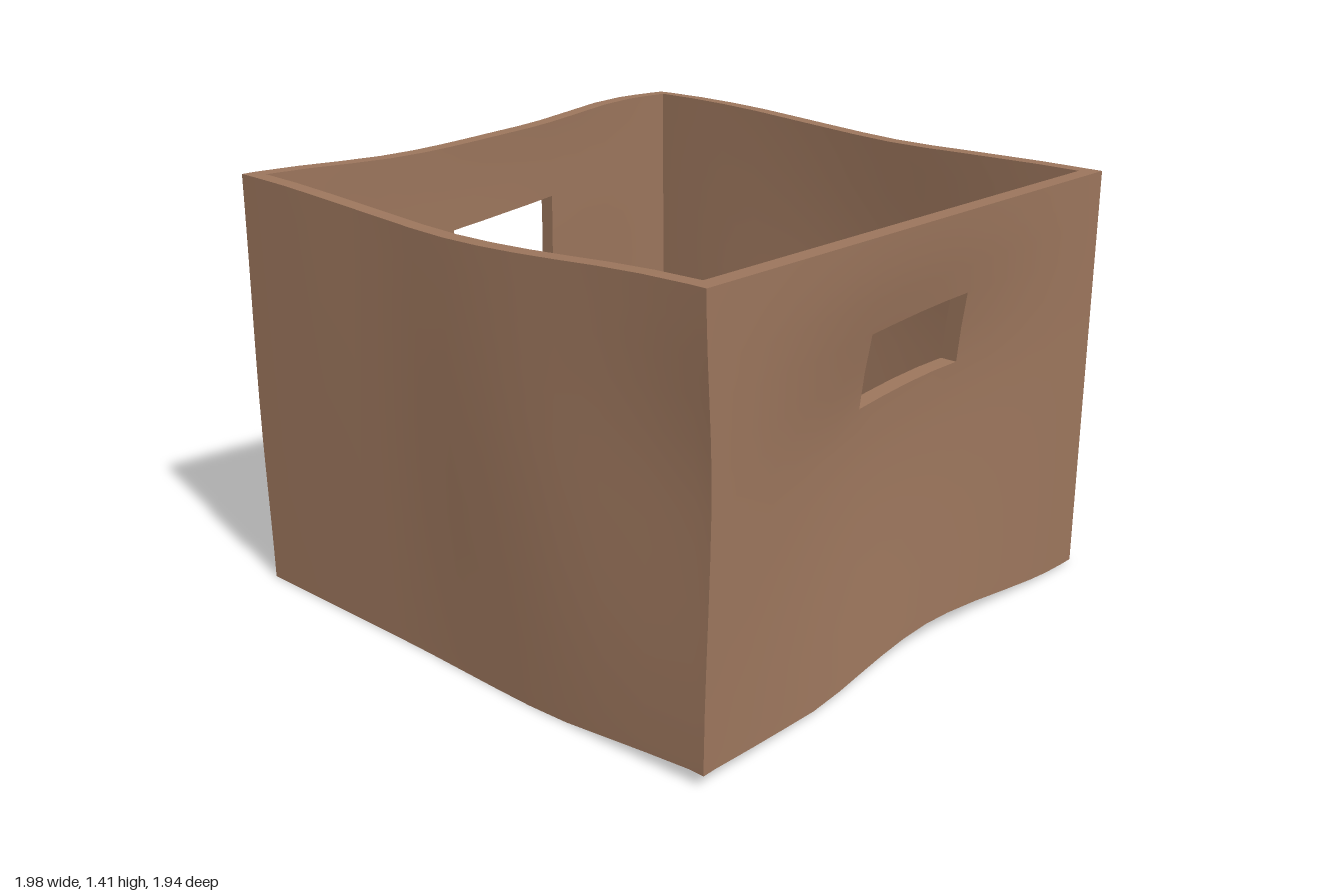
import * as THREE from 'three';
import { toCreasedNormals } from 'three/addons/utils/BufferGeometryUtils.js';

const clamp = (t) => Math.min(1, Math.max(0, t));
// Smooth hill: 0 at lo and hi, 1 at the peak
function hill(t, lo, peak, hi) {
  if (t <= lo || t >= hi) return 0;
  const s = t < peak ? (t - lo) / (peak - lo) : (hi - t) / (hi - peak);
  return s * s * (3 - 2 * s);
}

const H = 1.39;
// Grid lines of the straight box: wall thickness, floor thickness and hole edges included
const grid = [
  [-0.95, -0.9, -0.75, -0.6, -0.45, -0.32, -0.21, -0.1, 0.02, 0.14, 0.25, 0.4, 0.55, 0.7, 0.8, 0.9, 0.95],
  [0, 0.05, 0.2, 0.35, 0.5, 0.65, 0.77, 0.865, 0.98, 1.1, 1.2, 1.3, H],
  [-0.96, -0.905, -0.75, -0.6, -0.45, -0.3, -0.15, 0, 0.15, 0.3, 0.45, 0.6, 0.75, 0.91, 0.965],
];

// Dents and bulges of the worn cardboard
function warp(x, y, z) {
  const front = clamp((z - 0.4) / 0.5), back = clamp((-z - 0.4) / 0.5);
  const right = clamp((x - 0.4) / 0.5), left = clamp((-x - 0.4) / 0.5);
  const up = y / H, low = 1 - up;
  let px = x, py = y, pz = z;

  // front panel: hollow around the handle hole, lifted lower edge
  pz -= front * (0.072 * hill(x, -1, -0.2, 1) * hill(y, -0.5, 0.8, H)
    + 0.02 * low * hill(x, -0.5, 0.15, 0.9));
  py += front * low * (0.05 * hill(x, -0.5, 0.15, 0.9) + 0.03 * left + 0.01);
  py += front * up * (-0.003 - 0.013 * x);
  // back panel: rim and lower edge pushed in, rim wavy
  pz += back * hill(x, -1, 0.1, 1) * (0.065 * up * up + 0.03 * low + 0.02 * hill(y, 0, 0.9, H));
  pz -= back * left * 0.012 * hill(y, 0, 0.6, H);
  py += back * up * (0.022 * hill(x, 0.1, 0.6, 1.1) - 0.02 * hill(x, -0.95, -0.4, 0.2));
  py += back * low * 0.04 * hill(x, -0.6, 0.3, 0.9);
  // tilt of the handle holes
  py += (front + back) * 0.06 * x * hill(y, 0, 1, H) * hill(x, -1.4, 0, 1.4);
  // right panel: bulge and sagging rim
  px += right * hill(z, -0.8, 0.06, 0.85) * (0.044 * hill(y, 0.1, 0.9, 1.9));
  py += right * up * (-0.03 * hill(z, -0.5, 0.2, 0.95) + 0.01 * hill(z, -1.2, -0.7, -0.2));
  // left panel: bulge, sagging rim, front edge pulled in
  px -= left * (0.03 * hill(z, -0.3, 0.3, 0.95) * hill(y, -0.6, 0.75, 2)
    - 0.01 * hill(z, -0.8, -0.3, 0.1) * up);
  px += left * front * 0.025 * hill(y, 0, 0.85, H);
  px -= left * 0.018 * (0.5 - z / 1.9);
  py -= left * up * 0.035 * hill(z, -0.9, -0.1, 0.8);
  return [px, py, pz];
}

// Which cells of the grid are cardboard
function isSolid(i, j, k) {
  const [xs, ys, zs] = grid;
  const nx = xs.length - 1, ny = ys.length - 1, nz = zs.length - 1;
  if (i < 0 || j < 0 || k < 0 || i >= nx || j >= ny || k >= nz) return false;
  const floor = j === 0, side = i === 0 || i === nx - 1, end = k === 0 || k === nz - 1;
  const cx = (xs[i] + xs[i + 1]) / 2, cy = (ys[j] + ys[j + 1]) / 2;
  const hole = end && cx > -0.21 && cx < 0.25 && cy > 0.865 && cy < 1.1;
  return (floor || side || end) && !hole;
}

// Skin of all solid cells, bent by the warp
function boxGeometry() {
  const pos = [];
  const point = (c) => warp(grid[0][c[0]], grid[1][c[1]], grid[2][c[2]]);
  for (let i = 0; i < grid[0].length - 1; i++)
    for (let j = 0; j < grid[1].length - 1; j++)
      for (let k = 0; k < grid[2].length - 1; k++) {
        if (!isSolid(i, j, k)) continue;
        for (let a = 0; a < 3; a++)
          for (const dir of [-1, 1]) {
            const next = [i, j, k];
            next[a] += dir;
            if (isSolid(...next)) continue;
            const b = (a + 1) % 3, c = (a + 2) % 3;
            const quad = [[0, 0], [1, 0], [1, 1], [0, 1]].map(([u, v]) => {
              const p = [i, j, k];
              p[a] += dir > 0 ? 1 : 0;
              p[b] += u;
              p[c] += v;
              return point(p);
            });
            if (dir < 0) quad.reverse();
            for (const q of [0, 1, 2, 0, 2, 3]) pos.push(...quad[q]);
          }
      }
  const geo = new THREE.BufferGeometry();
  geo.setAttribute('position', new THREE.Float32BufferAttribute(pos, 3));
  geo.computeVertexNormals();
  return toCreasedNormals(geo, 0.7);
}

export function createModel() {
  const group = new THREE.Group();
  group.name = 'openBox';
  const cardboard = new THREE.MeshStandardMaterial({ color: 0x9b755c });
  const box = new THREE.Mesh(boxGeometry(), cardboard);
  box.name = 'cardboardBox';
  group.add(box);
  return group;
}
